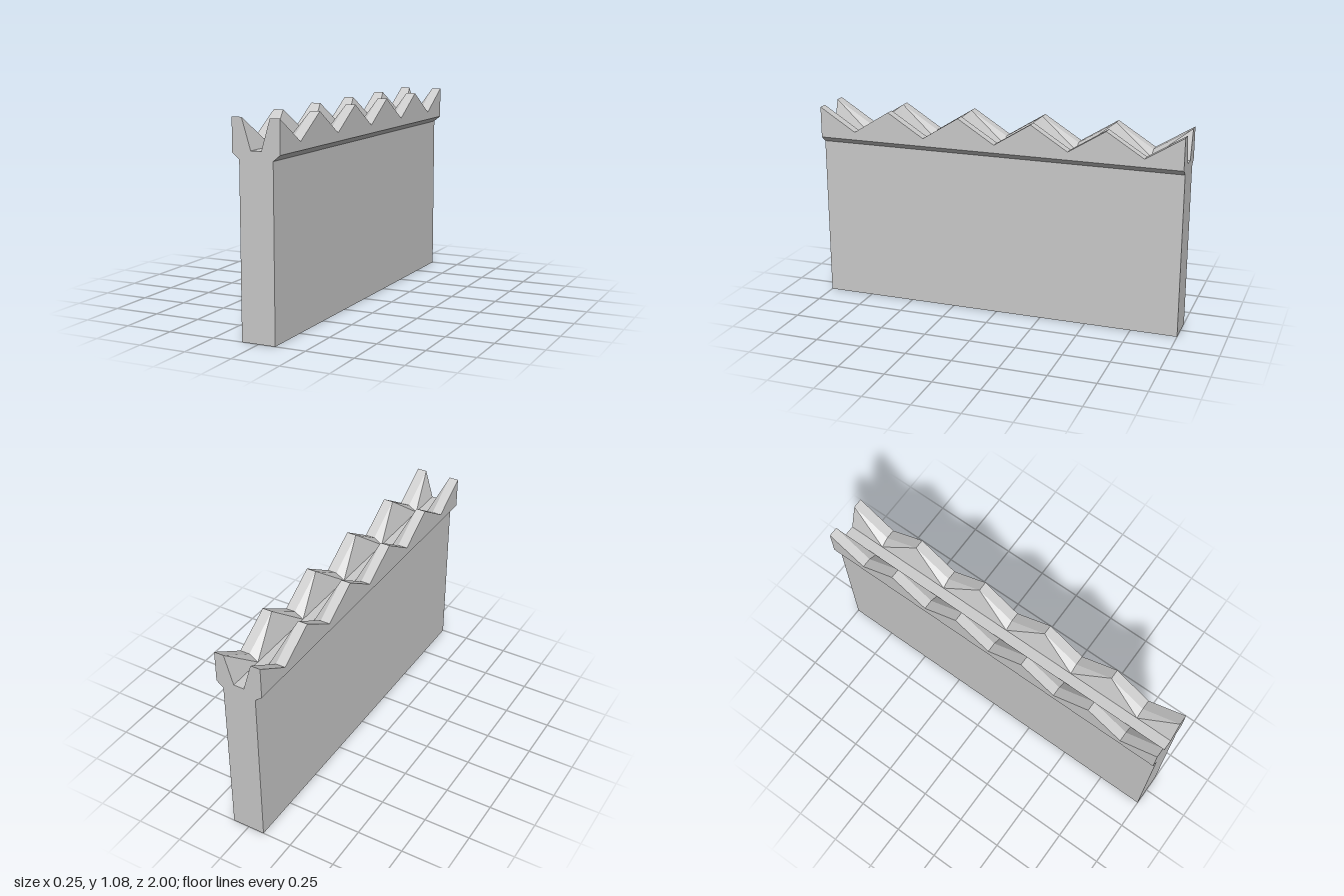
import * as THREE from 'three';

const LENGTH = 2, STEPS = 10;      // half-tooth steps along the wall
const PEAK = 1.075, VALLEY = 0.95; // tooth heights

// Cross-section of one toothed rail, counter-clockwise seen from +z
const railSection = (h, z) => [
  [0.028, 0.92, z], [0.127, 0.907, z], [0.127, h, z], [0.075, h, z],
];

// Loft the rail through alternating peak and valley sections
function railGeometry() {
  const pos = [];
  const tri = (...corners) => corners.forEach((c) => pos.push(...c));
  const sections = [];
  for (let k = 0; k <= STEPS; k++) {
    sections.push(railSection(k % 2 ? VALLEY : PEAK, -LENGTH / 2 + (k * LENGTH) / STEPS));
  }
  for (let k = 0; k < STEPS; k++) {
    const s = sections[k], t = sections[k + 1];
    for (let i = 1; i < 4; i++) { // edge 0 rests on the body
      const j = (i + 1) % 4;
      const a = s[i], b = s[j], c = t[j], d = t[i];
      // The diagonal of the sloping inner side starts at the peak
      if (k % 2 === 0) { tri(a, b, c); tri(a, c, d); }
      else { tri(a, b, d); tri(b, c, d); }
    }
  }
  // End caps
  const [p, q, r, u] = sections[STEPS];
  tri(p, q, r); tri(p, r, u);
  const [e, f, g, h] = sections[0];
  tri(e, g, f); tri(e, h, g);

  const geo = new THREE.BufferGeometry();
  geo.setAttribute('position', new THREE.Float32BufferAttribute(pos, 3));
  geo.computeVertexNormals();
  return geo;
}

export function createModel() {
  const group = new THREE.Group();
  group.name = 'battlementWall';
  const material = new THREE.MeshStandardMaterial({ color: 0xcccccc, flatShading: true });

  // Wall body with flared shoulders and the walkway floor on top
  const half = [[0.09, 0], [0.09, 0.877], [0.127, 0.907], [0.028, 0.92]];
  const outline = [...half, ...half.map(([x, y]) => [-x, y]).reverse()];
  const shape = new THREE.Shape(outline.map(([x, y]) => new THREE.Vector2(x, y)));
  const bodyGeo = new THREE.ExtrudeGeometry(shape, { depth: LENGTH, bevelEnabled: false });
  bodyGeo.translate(0, 0, -LENGTH / 2);
  const body = new THREE.Mesh(bodyGeo, material);
  body.name = 'wallBody';
  group.add(body);

  // Toothed rails on both sides, the second turned half way round
  const railGeo = railGeometry();
  ['leftToothedRail', 'rightToothedRail'].forEach((name, i) => {
    const rail = new THREE.Mesh(railGeo, material);
    rail.name = name;
    rail.rotation.y = i * Math.PI;
    group.add(rail);
  });

  return group;
}
